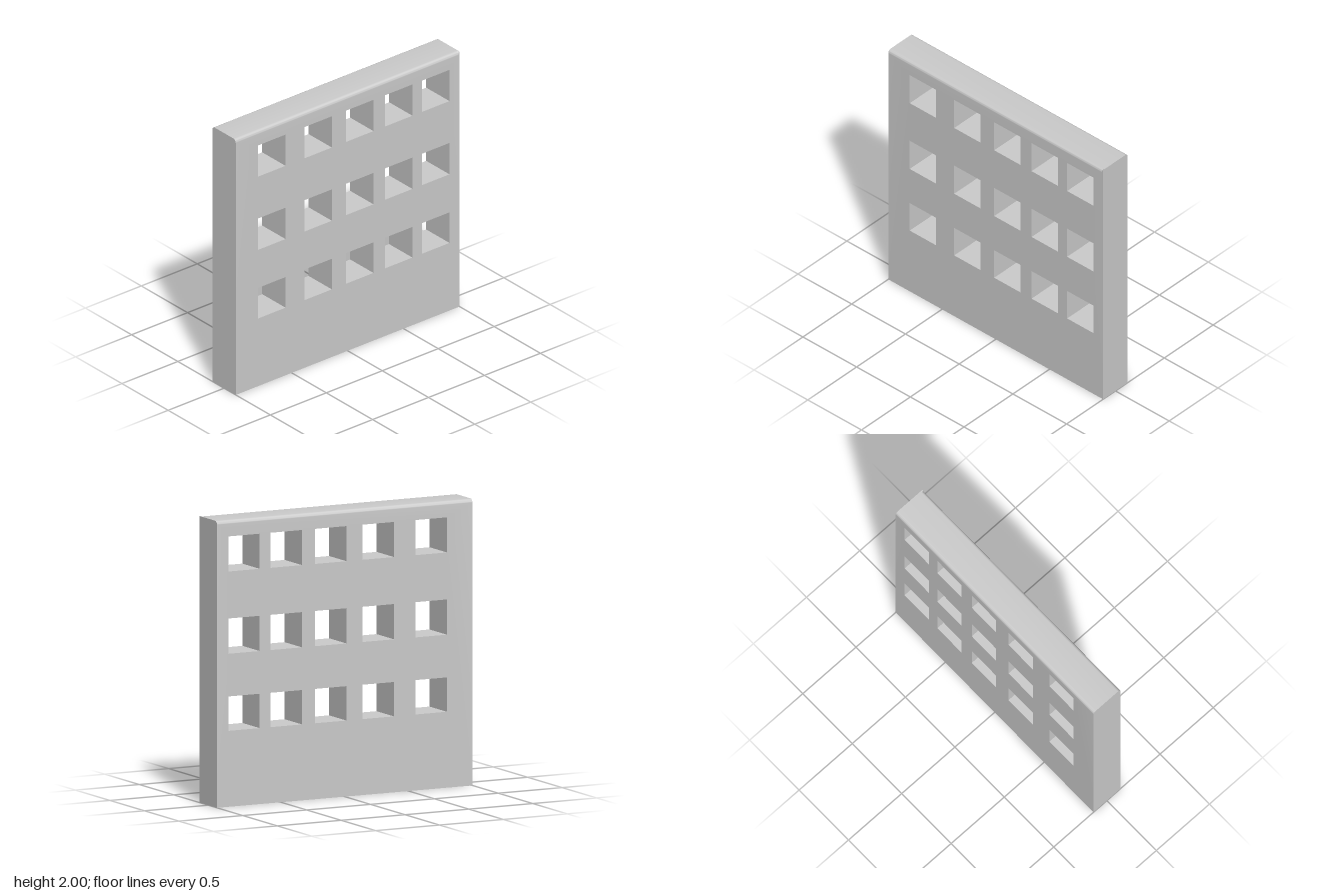
import * as THREE from 'three';
import { toCreasedNormals } from 'three/addons/utils/BufferGeometryUtils.js';

const HALF = 0.126;   // half thickness
const R = 0.025;      // rounding of the long top edges
const K = 6;          // layers per rounded edge

export function createModel() {
  const group = new THREE.Group();
  group.name = 'perforatedWall';

  // Wall outline; the front top corner at +x stays sharp
  const shape = new THREE.Shape([
    [-1, 0], [1, 0], [1, 2], [0.99, 2 - R], [-1, 2 - R],
  ].map(([x, y]) => new THREE.Vector2(x, y)));

  // Window openings: five columns in three rows
  const w = 0.245;
  for (const x of [-0.8, -0.386, -0.014, 0.334, 0.665]) {
    for (const [y0, y1] of [[0.53, 0.77], [1.068, 1.314], [1.642, 1.887]]) {
      shape.holes.push(new THREE.Path([
        [x, y0], [x, y1], [x + w, y1], [x + w, y0],
      ].map(([px, py]) => new THREE.Vector2(px, py))));
    }
  }

  // Extrude in layers one unit apart, then remap the layers to round the top
  const steps = 2 * K + 1;
  const geo = new THREE.ExtrudeGeometry(shape, { depth: steps, steps, bevelEnabled: false });
  const pos = geo.attributes.position;
  for (let i = 0; i < pos.count; i++) {
    const layer = Math.round(pos.getZ(i));
    const front = layer > K;
    const angle = (Math.min(layer, steps - layer) / K) * Math.PI / 2;
    const z = HALF - R * (1 - Math.cos(angle));
    pos.setZ(i, front ? z : -z);
    if (pos.getY(i) > 2 - R - 0.001) {
      const sharp = front && pos.getX(i) > 0.999;
      pos.setY(i, sharp ? 2 : 2 - R + R * Math.sin(angle));
    }
  }

  const wall = new THREE.Mesh(
    toCreasedNormals(geo, Math.PI / 6),
    new THREE.MeshStandardMaterial({ color: 0xcccccc }),
  );
  wall.name = 'wallWithWindows';
  group.add(wall);
  return group;
}
